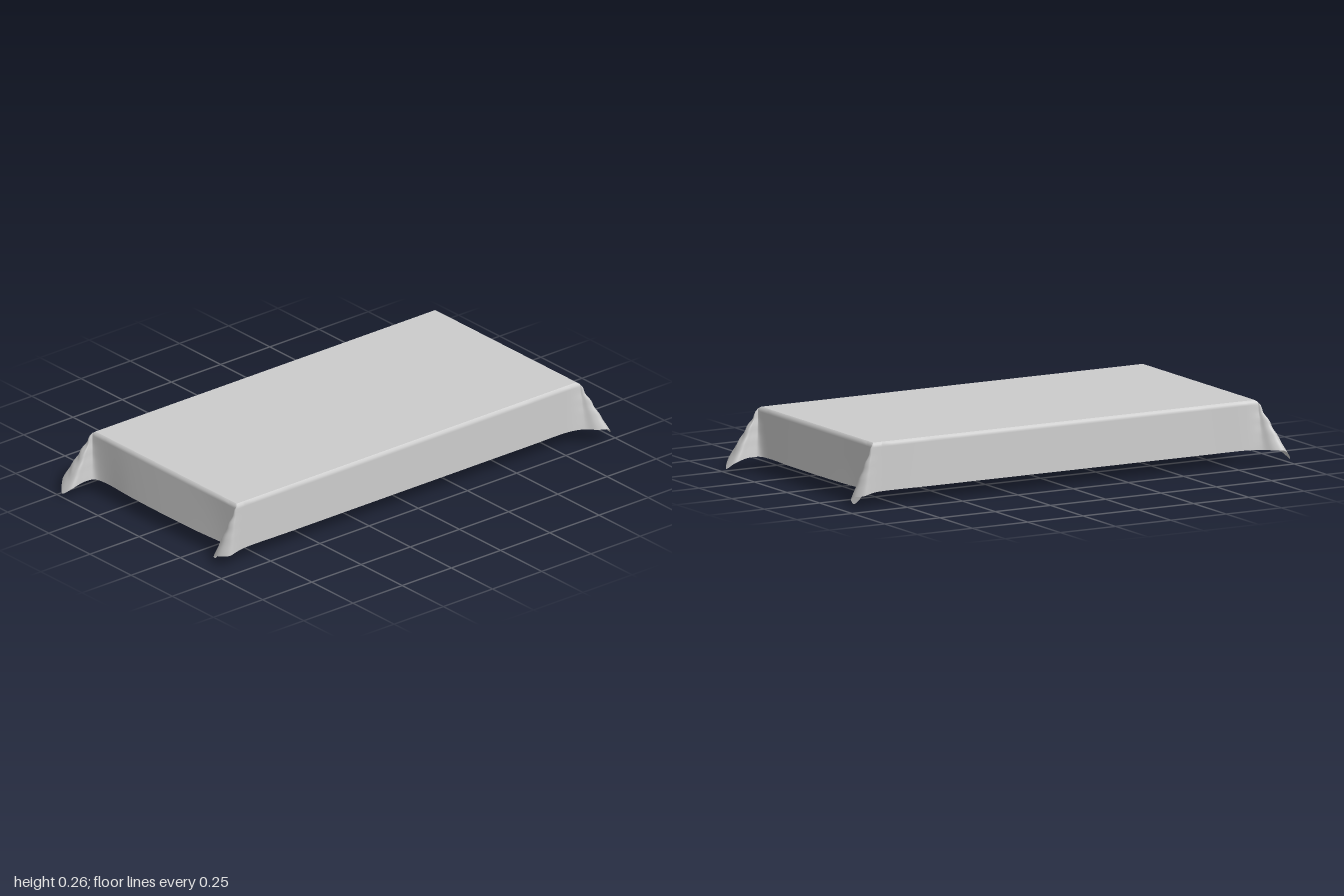
import * as THREE from 'three';

const EX = 0.872, EZ = 0.438, TOP = 0.256; // half sizes and height of the flat top

// Hem of half the cloth: [x, y, z, kind]. Kind 1 hangs from the corner as part of a fold.
const HEM = [
  // fold tucked round onto the end
  [0.83, 0.062, -0.442, 0], [0.875, 0.06, -0.447, 1], [0.912, 0.05, -0.443, 1],
  [0.934, 0.042, -0.405, 1], [0.924, 0.025, -0.362, 1], [0.895, 0.0, -0.34, 1],
  [0.868, 0.035, -0.36, 1], [0.886, 0.052, -0.405, 1], [0.872, 0.06, -0.43, 1],
  // end skirt
  [0.87, 0.062, -0.39, 0], [0.88, 0.062, -0.2, 0], [0.882, 0.062, 0, 0],
  [0.879, 0.062, 0.2, 0], [0.872, 0.062, 0.36, 0],
  // fold flaring out from the corner
  [0.885, 0.062, 0.412, 1], [0.93, 0.058, 0.425, 1], [0.98, 0.04, 0.435, 1],
  [0.998, 0.015, 0.47, 1], [0.975, 0.04, 0.5, 1], [0.945, 0.061, 0.519, 1],
  [0.91, 0.063, 0.503, 1], [0.875, 0.062, 0.465, 1],
  // long skirt
  [0.82, 0.062, 0.445, 0], [0.6, 0.062, 0.443, 0], [0, 0.062, 0.443, 0], [-0.6, 0.062, 0.443, 0],
];

// Point on the table edge that a hem point hangs from
function edgePoint([x, , z, fold]) {
  if (fold) return new THREE.Vector3(Math.sign(x) * EX, TOP - 0.007, Math.sign(z) * EZ);
  const onEnd = Math.abs(x) > 0.85;
  return new THREE.Vector3(
    onEnd ? Math.sign(x) * EX : x, TOP - 0.007, onEnd ? z : Math.sign(z) * EZ);
}

function skirtGeometry() {
  // The second half is the first turned by 180 degrees
  const hem = [...HEM, ...HEM.map(([x, y, z, f]) => [-x, y, -z, f])];
  const edges = hem.map(edgePoint);
  const curve = new THREE.CatmullRomCurve3(
    hem.map(([x, y, z]) => new THREE.Vector3(x, y, z)), true, 'centripetal');
  const n = hem.length, per = 5, cols = n * per, rows = 16;
  const pos = [], index = [];

  for (let r = -1; r <= rows; r++) {
    const t = Math.max(r, 0) / rows;
    for (let c = 0; c <= cols; c++) {
      const i = Math.floor(c / per) % n, k = (c % per) / per, j = (i + 1) % n;
      const p = edges[i].clone().lerp(edges[j], k);
      if (r < 0) {
        // rounded rim
        p.set(p.x * (EX - 0.009) / EX, TOP, p.z * (EZ - 0.009) / EZ);
      } else {
        const low = curve.getPoint((c % cols) / cols);
        const fold = THREE.MathUtils.lerp(hem[i][3], hem[j][3], k);
        // small creases where the cloth gathers
        const crease = 0.035 * fold * Math.sin(t * Math.PI * 7) * (1 - t);
        const s = t + crease;
        p.set(
          THREE.MathUtils.lerp(p.x, low.x, s),
          THREE.MathUtils.lerp(p.y, low.y, t),
          THREE.MathUtils.lerp(p.z, low.z, s));
      }
      pos.push(p.x, p.y, p.z);
    }
  }
  const w = cols + 1;
  for (let r = 0; r <= rows; r++) {
    for (let c = 0; c < cols; c++) {
      const a = r * w + c, b = a + 1, d = a + w;
      index.push(a, b, d, b, d + 1, d);
    }
  }
  const g = new THREE.BufferGeometry();
  g.setAttribute('position', new THREE.Float32BufferAttribute(pos, 3));
  g.setIndex(index);
  g.computeVertexNormals();
  return g;
}

export function createModel() {
  const group = new THREE.Group();
  group.name = 'tablecloth';
  const cloth = new THREE.MeshStandardMaterial({ color: 0xcccccc, side: THREE.DoubleSide });

  // Flat top
  const top = new THREE.Mesh(
    new THREE.PlaneGeometry(2 * (EX - 0.009), 2 * (EZ - 0.009)).rotateX(-Math.PI / 2), cloth);
  top.position.y = TOP;
  top.name = 'clothTop';
  group.add(top);

  // Hanging sides with the four corner folds
  const skirt = new THREE.Mesh(skirtGeometry(), cloth);
  skirt.name = 'clothSkirt';
  group.add(skirt);
  return group;
}
